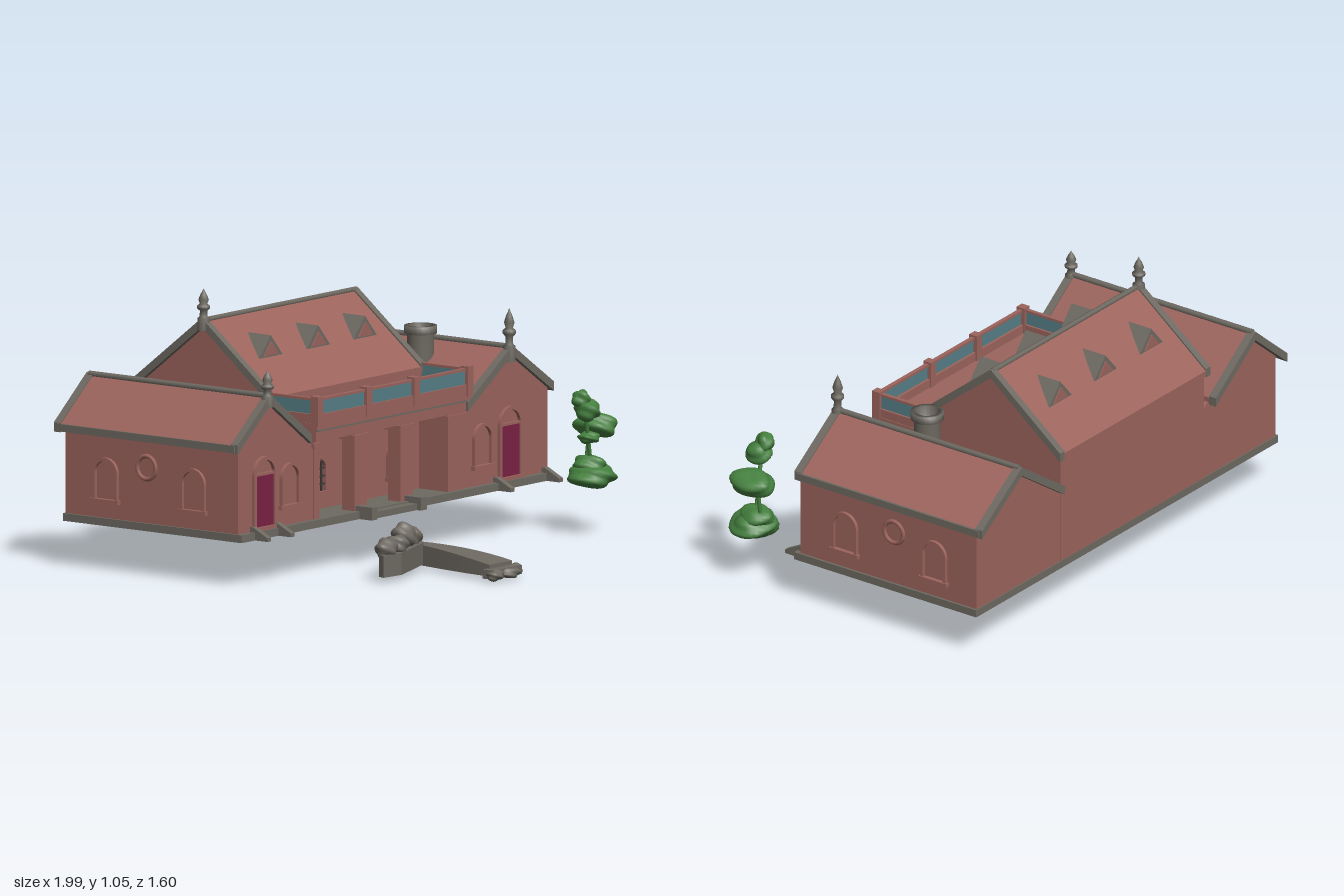
import * as THREE from 'three';

const mat = (name, color) => Object.assign(new THREE.MeshStandardMaterial({ color, side: THREE.DoubleSide }), { name });
const M = {
  brick: mat('red brick', 0x9c645d),
  stone: mat('grey stone', 0x6e6a62),
  dark: mat('dark lattice', 0x3f3836),
  glass: mat('teal glass', 0x557f86),
  door: mat('maroon door', 0x7a2145),
  leaf: mat('green foliage', 0x45803f),
};

export function createModel() {
  const root = new THREE.Group();
  const add = (name, geo, m, parent = root) => {
    const mesh = new THREE.Mesh(geo, m);
    mesh.name = name;
    parent.add(mesh);
    return mesh;
  };
  // box given by its limits
  const box = (name, x0, x1, y0, y1, z0, z1, m, parent) => add(name,
    new THREE.BoxGeometry(x1 - x0, y1 - y0, z1 - z0).translate((x0 + x1) / 2, (y0 + y1) / 2, (z0 + z1) / 2), m, parent);
  const poly = pts => new THREE.Shape(pts.map(p => new THREE.Vector2(p[0], p[1])));
  const extrude = (shape, depth) => new THREE.ExtrudeGeometry(shape, { depth, bevelEnabled: false, curveSegments: 10 });
  // (x, y) outline swept along z
  const alongZ = (name, pts, z0, z1, m, parent) => add(name, extrude(poly(pts), z1 - z0).translate(0, 0, z0), m, parent);
  // (z, y) outline swept along x
  const alongX = (name, pts, x0, x1, m, parent) => add(name,
    extrude(poly(pts.map(([z, y]) => [-z, y])), x1 - x0).rotateY(Math.PI / 2).translate(x0, 0, 0), m, parent);
  // inverted V band below three outline points
  const chevron = ([a, b, c], t) => [a, b, c, [c[0], c[1] - t], [b[0], b[1] - t], [a[0], a[1] - t]];
  // round bar between two points
  const bar = (name, a, b, r, m, parent) => {
    const A = new THREE.Vector3(...a), B = new THREE.Vector3(...b);
    const mesh = add(name, new THREE.CylinderGeometry(r, r, A.distanceTo(B), 8), m, parent);
    mesh.position.copy(A).lerp(B, 0.5);
    mesh.quaternion.setFromUnitVectors(new THREE.Vector3(0, 1, 0), B.sub(A).normalize());
  };
  const finial = (name, x, y, z, h, r) => add(name, new THREE.LatheGeometry(
    [[1, -0.3], [1, 0.08], [0.65, 0.12], [0.6, 0.3], [1.05, 0.38], [1.05, 0.46], [0.6, 0.52], [0.85, 0.65], [0.55, 0.8], [0.25, 0.9], [0.001, 1]]
      .map(p => new THREE.Vector2(p[0] * r, p[1] * h)), 12), M.stone).position.set(x, y, z);
  // irregular rounded lump
  const lump = (name, x, y, z, rx, ry, rz, m, seed, parent) => {
    const g = new THREE.SphereGeometry(1, 24, 16), p = g.attributes.position, v = new THREE.Vector3();
    for (let i = 0; i < p.count; i++) {
      v.fromBufferAttribute(p, i);
      const k = 0.92 + 0.1 * Math.sin(3.1 * v.x + seed) * Math.cos(2.7 * v.z + 2 * seed) + 0.09 * Math.sin(5 * v.y + 4 * v.x + 3 * seed);
      p.setXYZ(i, v.x * k * rx, v.y * k * ry, v.z * k * rz);
    }
    g.computeVertexNormals();
    add(name, g, m, parent).position.set(x, y, z);
  };

  // arched openings, drawn on a wall plane
  const arch = (w, h) => {
    const s = new THREE.Shape();
    s.moveTo(-w / 2, 0);
    s.lineTo(w / 2, 0);
    s.lineTo(w / 2, h - w / 2);
    s.absarc(0, h - w / 2, w / 2, 0, Math.PI, false);
    s.lineTo(-w / 2, 0);
    return s;
  };
  const opening = (name, x, y, z, ry, w, h, kind) => {
    const g = new THREE.Group();
    g.name = name;
    g.position.set(x, y, z);
    g.rotation.y = ry;
    root.add(g);
    const ring = arch(w, h);
    ring.holes.push(arch(w * 0.8, h - w * 0.1));
    add('archFrame', extrude(ring, 0.014), M.brick, g);
    box('sill', -w * 0.56, w * 0.56, -0.012, 0.004, 0, 0.018, M.brick, g);
    if (kind === 'door') {
      box('doorLeaf', -w * 0.42, w * 0.42, 0, h - w * 0.5, 0, 0.008, M.door, g);
      box('transom', -w * 0.42, w * 0.42, h - w * 0.52, h - w * 0.45, 0, 0.013, M.brick, g);
    }
    if (kind === 'lattice') {
      for (const i of [-1, 0, 1]) box('mullion', i * w * 0.22 - 0.003, i * w * 0.22 + 0.003, 0, h - w * 0.2, 0, 0.008, M.dark, g);
      for (const i of [1, 2, 3]) box('glazingBar', -w * 0.4, w * 0.4, h * i * 0.22 - 0.003, h * i * 0.22 + 0.003, 0, 0.008, M.dark, g);
    }
  };

  // base plinth
  box('plinth', -0.975, 0.965, 0.175, 0.205, -0.77, 0.1, M.stone);
  box('porchStep', -0.24, 0.1, 0.175, 0.2, 0.09, 0.14, M.stone);
  for (const x of [-0.225, 0.08]) box('stepCheek', x - 0.018, x + 0.018, 0.175, 0.225, 0.05, 0.16, M.stone);
  for (const x of [-0.88, -0.735, 0.63, 0.93])
    alongX('stepCheek', [[0.06, 0.175], [0.16, 0.175], [0.16, 0.19], [0.09, 0.225], [0.06, 0.225]], x - 0.012, x + 0.012, M.stone);

  // two gabled wings
  const wing = (name, wall0, wall1, roof) => {
    const g = new THREE.Group();
    g.name = name;
    root.add(g);
    const [a, b, c] = roof, under = (x, p, q) => p[1] + (q[1] - p[1]) * (x - p[0]) / (q[0] - p[0]) - 0.02;
    alongZ('wingWalls', [[wall0, 0.2], [wall1, 0.2], [wall1, under(wall1, b, c)], [b[0], b[1] - 0.02], [wall0, under(wall0, a, b)]], -0.765, 0.075, M.brick, g);
    alongZ('wingRoof', chevron(roof, 0.022), -0.78, 0.075, M.brick, g);
    const lifted = roof.map(p => [p[0], p[1] + 0.006]);
    for (const z of [-0.803, 0.06]) alongZ('gableTrim', chevron(lifted, 0.036), z, z + 0.033, M.stone, g);
    bar('ridgeTrim', [b[0], b[1], -0.79], [b[0], b[1], 0.08], 0.012, M.stone, g);
    const outer = a[0] < 0 ? a : c;
    box('eaveTrim', outer[0] - 0.006, outer[0] + 0.006, outer[1] - 0.026, outer[1] + 0.003, -0.79, 0.08, M.stone, g);
  };
  wing('leftmostWing', -0.965, -0.5, [[-0.99, 0.55], [-0.785, 0.72], [-0.53, 0.535]]);
  wing('rightmostWing', 0.42, 0.955, [[0.44, 0.535], [0.715, 0.72], [0.972, 0.548]]);
  finial('wingFinial', -0.785, 0.71, 0.077, 0.11, 0.024);
  finial('wingFinial', 0.715, 0.71, 0.077, 0.16, 0.024);

  // main hall with ridge running left to right
  alongX('hallBody', [[-0.768, 0.2], [-0.06, 0.2], [-0.06, 0.56], [-0.12, 0.56], [-0.12, 0.645], [-0.45, 0.905], [-0.768, 0.65]], -0.5, 0.42, M.brick);
  const slope = [[-0.782, 0.665], [-0.45, 0.928], [-0.115, 0.66]];
  alongX('hallRoof', chevron(slope, 0.022), -0.5, 0.425, M.brick);
  for (const x of [-0.523, 0.413]) alongX('hallGableTrim', chevron(slope.map(p => [p[0], p[1] + 0.008]), 0.036), x, x + 0.03, M.stone);
  bar('hallRidge', [-0.51, 0.926, -0.45], [0.43, 0.926, -0.45], 0.011, M.stone);
  finial('hallFinial', -0.51, 0.925, -0.45, 0.125, 0.024);

  // three dormers on each slope
  for (const x of [-0.335, -0.04, 0.25]) for (const s of [-1, 1]) {
    const z = -0.45 + s * 0.19;
    const corners = [[x, 0.865, z], [x - 0.073, 0.782, z], [x + 0.073, 0.782, z], [x, 0.865, z - s * 0.115]];
    const g = new THREE.BufferGeometry();
    const order = s > 0 ? [0, 1, 2, 0, 3, 1, 0, 2, 3] : [0, 2, 1, 0, 1, 3, 0, 3, 2];
    g.setAttribute('position', new THREE.Float32BufferAttribute(order.flatMap(i => corners[i]), 3));
    g.computeVertexNormals();
    add('dormer', g, M.stone);
    alongZ('dormerFace', [[x - 0.045, 0.788], [x + 0.045, 0.788], [x, 0.842]], z - 0.004, z + 0.004, M.brick);
  }

  // round chimney, open at the top
  add('chimney', new THREE.LatheGeometry([[0.052, -0.2], [0.052, 0.05], [0.064, 0.05], [0.064, 0.08], [0.045, 0.08], [0.045, 0.0], [0.001, 0.0]]
    .map(p => new THREE.Vector2(...p)), 24), M.stone).position.set(0.62, 0.7, -0.28);

  // recessed porch: pillars, beam and balcony
  for (const [x0, x1] of [[-0.5, -0.465], [-0.25, -0.17], [0.035, 0.115], [0.33, 0.43]]) {
    box('pillar', x0, x1, 0.2, 0.52, x0 > 0.3 || x0 < -0.4 ? -0.07 : 0.02, 0.08, M.brick);
    box('capital', x0 - 0.008, x1 + 0.008, 0.48, 0.5, 0.01, 0.088, M.brick);
  }
  box('porchBeam', -0.5, 0.43, 0.505, 0.565, -0.1, 0.09, M.brick);
  box('cornice', -0.52, 0.44, 0.555, 0.58, -0.12, 0.11, M.brick);
  box('corniceShadowLine', -0.5, 0.43, 0.545, 0.553, 0.09, 0.098, M.stone);
  box('balconyBottomRail', -0.51, 0.435, 0.58, 0.615, 0.085, 0.11, M.brick);
  box('balconyTopRail', -0.51, 0.435, 0.667, 0.677, 0.09, 0.107, M.brick);
  const posts = [-0.505, -0.2, 0.095, 0.425];
  posts.forEach((x, i) => {
    box('balconyPost', x - 0.017, x + 0.017, 0.57, 0.685, 0.08, 0.116, M.brick);
    if (i) box('balconyGlass', posts[i - 1] + 0.017, x - 0.017, 0.615, 0.667, 0.096, 0.102, M.glass);
  });
  for (const x of [-0.505, 0.425]) {
    box('sideRail', x - 0.012, x + 0.012, 0.58, 0.615, -0.12, 0.09, M.brick);
    box('sideGlass', x - 0.003, x + 0.003, 0.615, 0.667, -0.12, 0.09, M.glass);
    box('sideTopRail', x - 0.008, x + 0.008, 0.667, 0.677, -0.12, 0.09, M.brick);
  }

  // doors and windows
  opening('wingDoor', -0.81, 0.215, 0.075, 0, 0.14, 0.275, 'door');
  opening('wingDoor', 0.715, 0.215, 0.075, 0, 0.14, 0.275, 'door');
  opening('hallDoor', -0.072, 0.205, -0.06, 0, 0.13, 0.28, 'door');
  for (const x of [-0.65, 0.545]) opening('wingWindow', x, 0.28, 0.075, 0, 0.115, 0.165, 'plain');
  for (const x of [-0.305, 0.175]) opening('hallWindow', x, 0.27, -0.06, 0, 0.1, 0.14, 'lattice');
  for (const [x, ry] of [[0.955, Math.PI / 2], [-0.965, -Math.PI / 2]]) {
    for (const z of [-0.14, -0.565]) opening('sideWindow', x, 0.275, z, ry, 0.12, 0.165, 'plain');
    add('sideMedallion', new THREE.TorusGeometry(0.045, 0.009, 6, 20).rotateY(ry), M.brick).position.set(x, 0.42, -0.37);
  }

  // hanging bracket under the floor
  for (const s of [-1, 1]) {
    bar('bracketArm', [0.012 + s * 0.08, 0.18, -0.44], [0.012 + s * 0.02, 0.095, -0.44], 0.007, M.stone);
    bar('bracketInner', [0.012 + s * 0.03, 0.18, -0.44], [0.012 + s * 0.052, 0.14, -0.44], 0.006, M.stone);
    bar('bracketBrace', [0.012 + s * 0.045, 0.135, -0.44], [0.012, 0.1, -0.44], 0.006, M.stone);
  }

  // curved rock wall with boulders
  const wall = poly([[-0.54, -0.45], [-0.44, -0.46], [-0.3, -0.41], [-0.19, -0.37], [-0.15, -0.3], [-0.22, -0.285], [-0.34, -0.35], [-0.45, -0.36], [-0.53, -0.42]]);
  add('rockWall', extrude(wall, 0.085).rotateX(-Math.PI / 2).translate(0, 0.02, 0), M.stone);
  [[-0.48, 0.12, 0.415, 0.055, 0.045, 0.045], [-0.4, 0.13, 0.405, 0.06, 0.04, 0.05], [-0.31, 0.145, 0.365, 0.055, 0.055, 0.05],
    [-0.23, 0.13, 0.33, 0.06, 0.045, 0.05], [-0.17, 0.1, 0.31, 0.035, 0.04, 0.03]]
    .forEach((b, i) => lump('boulder', ...b, M.stone, i + 1));

  // tapering ramp with stones at its foot
  const ramp = new THREE.BoxGeometry(1, 1, 1, 1, 1, 8), rp = ramp.attributes.position;
  for (let i = 0; i < rp.count; i++) {
    const t = rp.getZ(i) + 0.5, w = 0.05 + 0.09 * Math.sin(t * Math.PI / 2);
    rp.setXYZ(i, -0.155 - 0.015 * t + rp.getX(i) * w, rp.getY(i) < 0 ? 0.015 : 0.095 - 0.035 * t * t, 0.3 + 0.43 * t);
  }
  add('ramp', ramp.toNonIndexed(), M.stone).geometry.computeVertexNormals();
  box('rampFoot', -0.27, -0.09, 0.01, 0.045, 0.72, 0.77, M.stone);
  [[-0.25, 0.024, 0.765, 0.045, 0.024, 0.035], [-0.16, 0.024, 0.765, 0.06, 0.024, 0.035], [-0.09, 0.026, 0.74, 0.03, 0.026, 0.03]]
    .forEach((b, i) => lump('footStone', ...b, M.stone, i + 7));

  // small tree in tiers
  const tree = new THREE.Group();
  tree.name = 'tree';
  root.add(tree);
  [[0.885, 0.225, 0.35, 0.105, 0.05, 0.1], [0.89, 0.265, 0.33, 0.06, 0.045, 0.07], [0.92, 0.415, 0.33, 0.07, 0.055, 0.095],
    [0.86, 0.375, 0.35, 0.045, 0.025, 0.045], [0.815, 0.49, 0.38, 0.055, 0.045, 0.06], [0.8, 0.535, 0.36, 0.04, 0.04, 0.04]]
    .forEach((b, i) => lump('foliage', ...b, M.leaf, i * 1.7, tree));
  bar('trunk', [0.9, 0.22, 0.3], [0.92, 0.42, 0.31], 0.008, M.leaf, tree);
  bar('trunk', [0.89, 0.24, 0.34], [0.82, 0.52, 0.36], 0.008, M.leaf, tree);
  return root;
}
